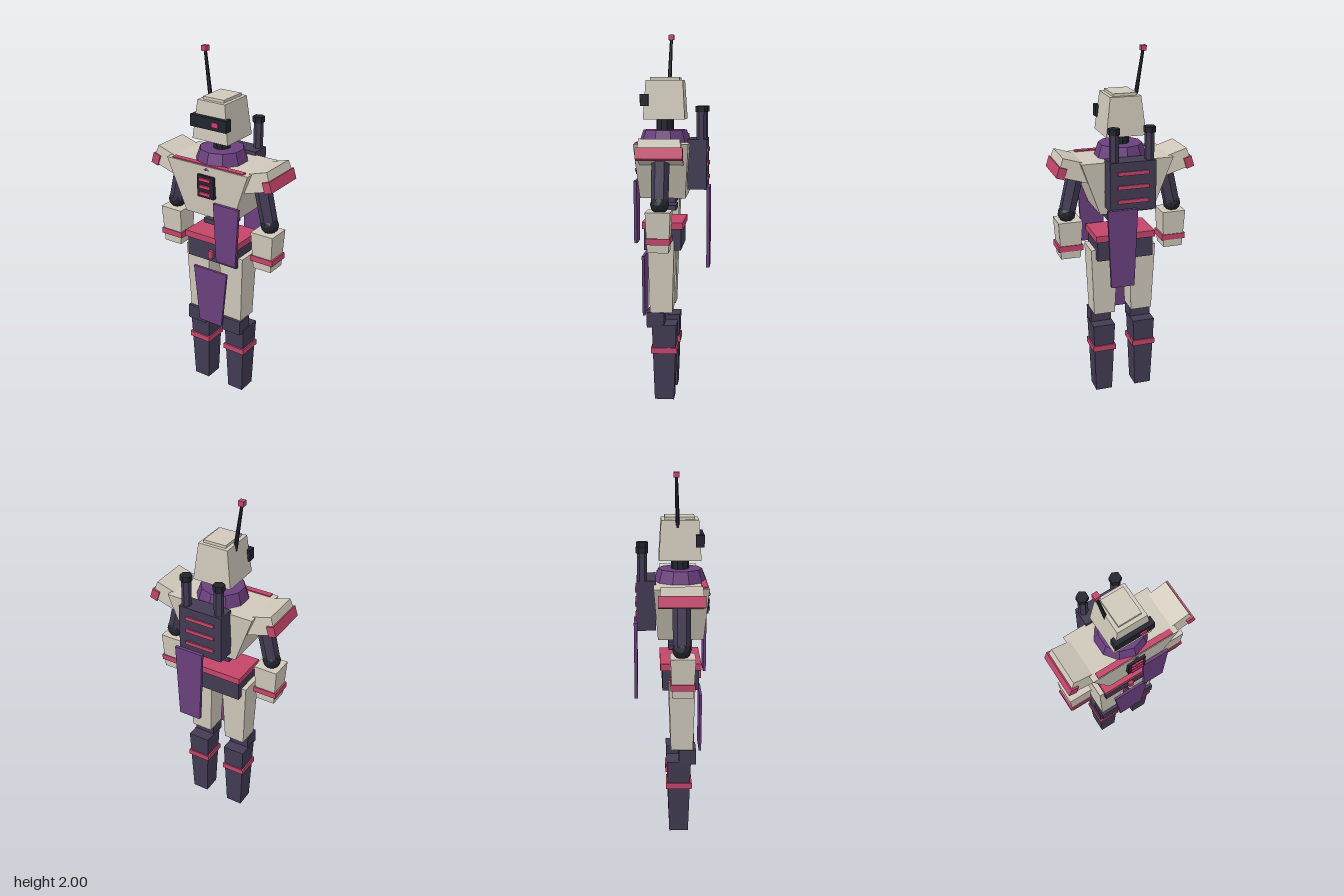
import * as THREE from 'three';

const mat = (name, color) => {
  const m = new THREE.MeshStandardMaterial({ color });
  m.name = name;
  m.flatShading = true;
  return m;
};

export function createModel() {
  const bone = mat('bone armour', 0xcfc8ba);
  const slate = mat('slate', 0x423b53);
  const black = mat('near black', 0x22242d);
  const red = mat('crimson', 0xc4456a);
  const glow = mat('bright pink', 0xdc3a70);
  const purple = mat('purple cloth', 0x6a3f7d);
  const Z = 0.045; // depth of the body axis

  const model = new THREE.Group();
  model.name = 'robot';

  const add = (name, geometry, material, x, y, z, parent = model) => {
    const mesh = new THREE.Mesh(geometry, material);
    mesh.name = name;
    mesh.position.set(x, y, z);
    parent.add(mesh);
    return mesh;
  };
  const box = (w, h, d) => new THREE.BoxGeometry(w, h, d);
  // Box whose top and bottom have different widths and depths
  const taper = (topW, topD, botW, botD, h) => {
    const g = new THREE.BoxGeometry(1, h, 1);
    const p = g.attributes.position;
    for (let i = 0; i < p.count; i++) {
      const up = p.getY(i) > 0;
      p.setX(i, p.getX(i) * (up ? topW : botW));
      p.setZ(i, p.getZ(i) * (up ? topD : botD));
    }
    g.computeVertexNormals();
    return g;
  };
  const cyl = (rTop, rBot, h, sides) => new THREE.CylinderGeometry(rTop, rBot, h, sides);
  // Cylinder between two points
  const rod = (name, a, b, rA, rB, sides, material) => {
    const from = new THREE.Vector3(...a), to = new THREE.Vector3(...b);
    const dir = to.clone().sub(from);
    const mid = from.clone().add(to).multiplyScalar(0.5);
    const mesh = add(name, cyl(rB, rA, dir.length(), sides), material, mid.x, mid.y, mid.z);
    mesh.quaternion.setFromUnitVectors(new THREE.Vector3(0, 1, 0), dir.normalize());
    return mesh;
  };

  // Head, visor and antenna
  add('head', taper(0.17, 0.2, 0.222, 0.226, 0.21), bone, 0, 1.645, 0.042);
  add('headCap', box(0.13, 0.02, 0.16), bone, 0, 1.755, 0.041);
  add('visor', box(0.226, 0.064, 0.045), black, 0, 1.643, 0.148);
  add('visorEye', box(0.038, 0.026, 0.009), glow, 0.045, 1.643, 0.173);
  rod('antenna', [-0.078, 1.7, 0.03], [-0.12, 1.98, 0.021], 0.012, 0.008, 6, black);
  add('antennaTip', box(0.03, 0.028, 0.03), red, -0.12, 1.986, 0.021);

  // Neck and collar
  add('neck', cyl(0.048, 0.048, 0.12, 10), black, 0, 1.5, Z);
  add('collar', cyl(0.12, 0.15, 0.09, 10), purple, 0, 1.437, Z);

  // Chest with trim and control panel
  add('chest', taper(0.514, 0.29, 0.3, 0.245, 0.295), bone, 0, 1.2675, Z);
  add('chestTrim', box(0.45, 0.009, 0.032), red, 0, 1.417, 0.17);
  add('chestPanel', box(0.104, 0.125, 0.04), black, 0, 1.302, 0.18);
  for (const y of [1.342, 1.302, 1.262]) {
    add('panelLight', box(0.07, 0.017, 0.009), glow, 0, y, 0.204);
  }

  // Waist rings and belt
  add('upperWaistRing', box(0.16, 0.028, 0.13), slate, 0, 1.1, Z);
  add('lowerWaistRing', box(0.155, 0.028, 0.13), slate, 0, 1.057, Z);
  add('beltTrim', box(0.34, 0.037, 0.222), red, 0, 0.971, Z);
  add('belt', box(0.32, 0.115, 0.2), slate, 0, 0.895, Z);
  add('buckle', box(0.027, 0.045, 0.02), red, 0, 0.884, 0.153);

  // Hanging cloths
  add('loincloth', taper(0.22, 0.014, 0.15, 0.014, 0.34), purple, 0, 0.62, 0.158);
  add('frontSash', taper(0.16, 0.016, 0.125, 0.016, 0.338), purple, 0.125, 1.047, 0.187);
  add('backSash', taper(0.167, 0.018, 0.13, 0.018, 0.44), purple, 0.063, 0.96, -0.2);

  // Backpack with stripes and exhausts
  add('backpack', box(0.254, 0.27, 0.103), slate, 0, 1.3, -0.139);
  for (const y of [1.375, 1.3, 1.222]) {
    add('backpackStripe', box(0.17, 0.02, 0.009), red, 0, y, -0.194);
  }

  for (const s of [-1, 1]) {
    // Exhaust pipe
    add('exhaustPipe', cyl(0.026, 0.026, 0.17, 6), slate, s * 0.097, 1.5, -0.16);
    add('exhaustCap', cyl(0.033, 0.033, 0.032, 6), black, s * 0.097, 1.596, -0.16);

    // Shoulder pad tilted up at its outer end
    const shoulder = new THREE.Group();
    shoulder.name = s > 0 ? 'leftShoulder' : 'rightShoulder';
    shoulder.position.set(s * 0.279, 1.375, 0.043);
    shoulder.rotation.z = s * 0.3;
    model.add(shoulder);
    add('shoulderPad', taper(0.17, 0.214, 0.18, 0.234, 0.1), bone, 0, 0, 0, shoulder);
    add('shoulderTrim', box(0.045, 0.06, 0.244), red, s * 0.073, -0.028, 0, shoulder);

    // Arm
    rod('upperArm', [s * 0.31, 1.09, Z], [s * 0.252, 1.34, Z], 0.046, 0.048, 6, slate);
    add('elbow', new THREE.IcosahedronGeometry(0.05, 1), black, s * 0.307, 1.105, Z);
    add('forearm', taper(0.135, 0.132, 0.11, 0.112, 0.213), bone, s * 0.3, 0.963, 0.05);
    add('wristBand', box(0.138, 0.033, 0.13), red, s * 0.3, 0.917, 0.05);

    // Leg
    add('thigh', taper(0.155, 0.145, 0.122, 0.122, 0.4), bone, s * 0.11, 0.692, 0.052);
    add('knee', box(0.12, 0.085, 0.095), slate, s * 0.118, 0.451, 0.083);
    add('shin', taper(0.128, 0.134, 0.096, 0.106, 0.425), slate, s * 0.119, 0.2125, 0.035);
    add('shinBand', box(0.134, 0.033, 0.143), red, s * 0.119, 0.281, 0.036);
  }

  return model;
}
